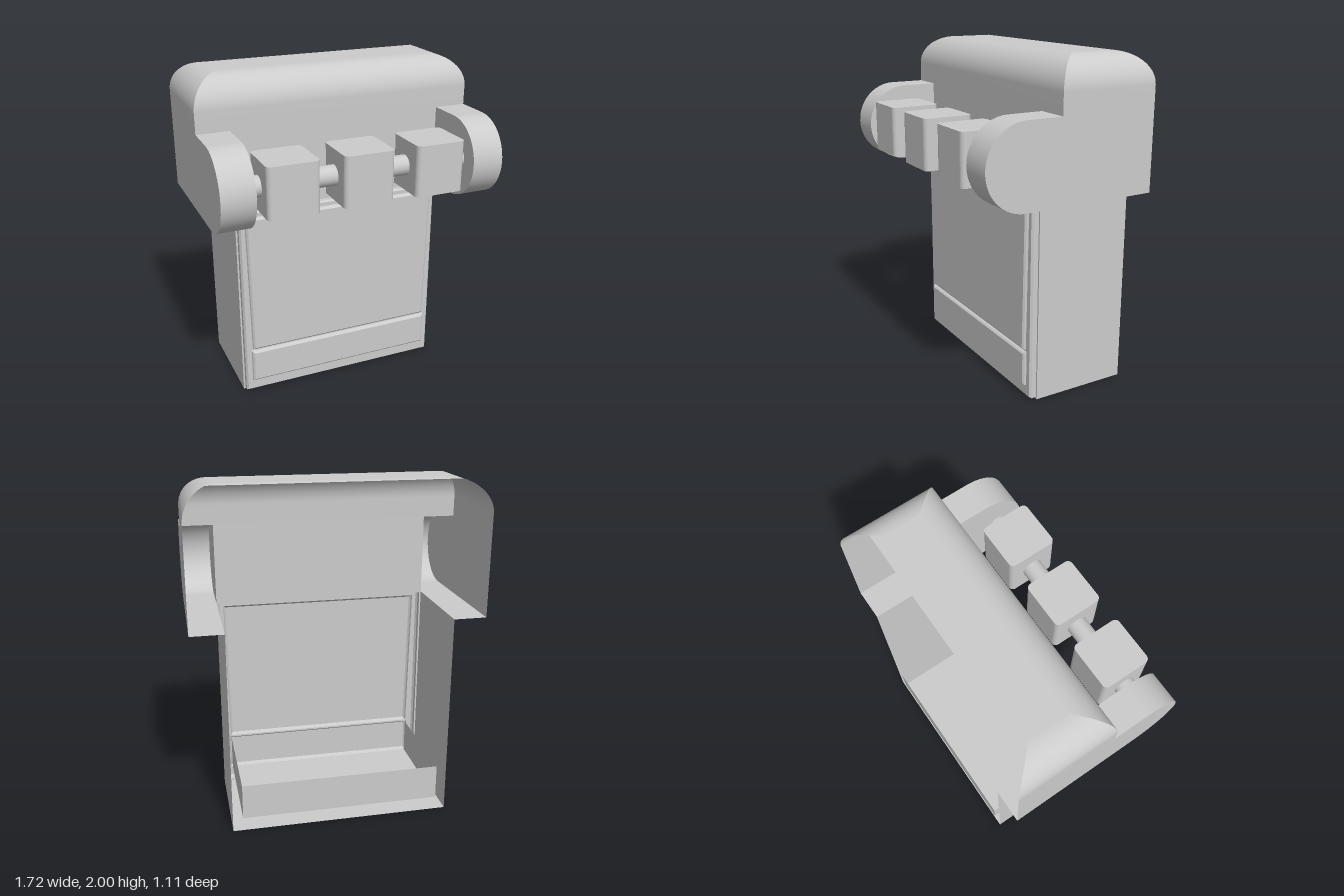
import * as THREE from 'three';

const smooth = new THREE.MeshStandardMaterial({ color: 0xcccccc, side: THREE.DoubleSide });
const flat = new THREE.MeshStandardMaterial({ color: 0xcccccc, side: THREE.DoubleSide, flatShading: true });

const BACK = -0.53, FRONT = 0.07;           // depth of the shell
const BODY_W = 0.65, HEAD_W = 0.843;        // half widths
const LEDGE = 1.22, ARM_TOP = 1.7, TOP = 2; // heights

// Ruled surface between two polylines with the same number of points
function ruled(a, b) {
  const pos = [], index = [];
  a.forEach((p, i) => {
    pos.push(...p, ...b[i]);
    if (i > 0) {
      const k = 2 * i;
      index.push(k - 2, k, k - 1, k - 1, k, k + 1);
    }
  });
  const g = new THREE.BufferGeometry();
  g.setAttribute('position', new THREE.Float32BufferAttribute(pos, 3));
  g.setIndex(index);
  g.computeVertexNormals();
  return g;
}

export function createModel() {
  const model = new THREE.Group();
  const add = (name, geometry, material = flat, parent = model) => {
    const mesh = new THREE.Mesh(geometry, material);
    mesh.name = name;
    parent.add(mesh);
    return mesh;
  };

  // Body: side walls and floor, open at the back
  for (const s of [1, -1]) {
    const x = s * BODY_W;
    add('bodySide', ruled([[x, 0, BACK], [x, 0, FRONT]], [[x, LEDGE, BACK], [x, LEDGE, FRONT]]));
  }
  add('bodyFloor', ruled([[-BODY_W, 0, BACK], [-BODY_W, 0, FRONT]], [[BODY_W, 0, BACK], [BODY_W, 0, FRONT]]));

  // Stepped front: loops of [bottom half width, top half width, bottom, top, z]
  const corners = ([wb, wt, y0, y1]) => [[-wb, y0], [wb, y0], [wt, y1], [-wt, y1]];
  const steps = (name, loops) => {
    const group = new THREE.Group();
    group.name = name;
    const rings = loops.map((l) => {
      const c = corners(l).map(([x, y]) => [x, y, l[4]]);
      return [...c, c[0]];
    });
    for (let i = 1; i < rings.length; i++) add(name + 'Edge', ruled(rings[i - 1], rings[i]), flat, group);
    model.add(group);
    return group;
  };
  const toShape = (l) => new THREE.Shape(corners(l).map((p) => new THREE.Vector2(...p)));
  const face = (name, loop, holes, parent) => {
    const shape = toShape(loop);
    shape.holes = holes.map(toShape);
    add(name, new THREE.ShapeGeometry(shape), flat, parent).position.z = loop[4];
  };

  const frameTop = [0.63, 0.63, 0.018, 1.208, 0.113];
  const frame = steps('frontFrame', [
    [0.65, 0.65, 0, 1.22, 0.07], [0.64, 0.64, 0.01, 1.215, 0.07],
    [0.64, 0.64, 0.01, 1.215, 0.1], frameTop,
  ]);
  const panels = {
    screenPanel: [0.592, 0.607, 0.305, 1.185],
    lowerPanel: [0.6, 0.6, 0.08, 0.295],
  };
  face('frameFace', frameTop, Object.values(panels), frame);
  for (const [name, [wb, wt, y0, y1]] of Object.entries(panels)) {
    const inset = (d, z) => [wb - d, wt - d, y0 + d, y1 - d, z];
    const loops = [inset(0, 0.113), inset(0.004, 0.124), inset(0.014, 0.133)];
    face(name + 'Face', loops[2], [], steps(name, loops));
  }

  // Open bin behind the lower panel
  const bw = 0.59, b0 = 0.08, b1 = 0.29;
  const binRim = (y) => [[-bw, y, 0.113], [-bw, y, BACK], [bw, y, BACK], [bw, y, 0.113]];
  add('binWalls', ruled(binRim(b0), binRim(b1)).toNonIndexed());
  add('binFloor', ruled([[-bw, b0, BACK], [-bw, b0, 0.113]], [[bw, b0, BACK], [bw, b0, 0.113]]));

  // Hollow arms: profile in (z, y), ledge, rounded nose and top
  const r = (ARM_TOP - LEDGE) / 2, cz = 0.283, cy = LEDGE + r;
  const arc = [];
  for (let i = 0; i <= 24; i++) {
    const a = -Math.PI / 2 + (Math.PI * i) / 24;
    arc.push([cz + r * Math.cos(a), cy + r * Math.sin(a)]);
  }
  const profile = [[BACK, LEDGE], [FRONT, LEDGE], ...arc, [FRONT, ARM_TOP]];
  const sideFace = (points) => {
    const g = new THREE.ShapeGeometry(new THREE.Shape(points.map(([z, y]) => new THREE.Vector2(-z, y))));
    return g.rotateY(Math.PI / 2);
  };
  for (const s of [1, -1]) {
    const arm = new THREE.Group();
    arm.name = s > 0 ? 'leftArm' : 'rightArm';
    const at = (x) => profile.map(([z, y]) => [s * x, y, z]);
    add('armRim', ruled(at(BODY_W), at(HEAD_W)), smooth, arm);
    add('armOuterFace', sideFace([...profile, [BACK, ARM_TOP]]), flat, arm).position.x = s * HEAD_W;
    add('armInnerFace', sideFace(profile.slice(1)), flat, arm).position.x = s * BODY_W;
    model.add(arm);
  }
  add('headFrontLower', ruled(
    [[-BODY_W, LEDGE, FRONT], [BODY_W, LEDGE, FRONT]],
    [[-BODY_W, ARM_TOP, FRONT], [BODY_W, ARM_TOP, FRONT]]));

  // Head: rounded, mitred hood; the back stays open below its top lip
  const R = 0.18, SEG = 12;
  const rise = [[0, ARM_TOP]];
  for (let i = 0; i <= SEG; i++) {
    const a = (Math.PI / 2) * (i / SEG);
    rise.push([R * (1 - Math.cos(a)), TOP - R + R * Math.sin(a)]);
  }
  const edge = (sx, front, list = rise) => list.map(([d, y]) =>
    [sx * (HEAD_W - d), y, front ? FRONT - d : BACK + d]);
  add('hoodFront', ruled(edge(-1, true), edge(1, true)), smooth);
  add('hoodLeft', ruled(edge(1, true), edge(1, false)), smooth);
  add('hoodRight', ruled(edge(-1, false), edge(-1, true)), smooth);
  const lip = rise.slice(-3);
  add('hoodBackLip', ruled(edge(1, false, lip), edge(-1, false, lip)), smooth);
  const last = rise.slice(-1);
  add('hoodTop', ruled(
    [...edge(-1, true, last), ...edge(1, true, last)],
    [...edge(-1, false, last), ...edge(1, false, last)]));

  // Rod between the arms
  const rod = add('rod', new THREE.CylinderGeometry(0.06, 0.06, 2 * BODY_W, 24, 1, true), smooth);
  rod.rotation.z = Math.PI / 2;
  rod.position.set(0, 1.47, 0.36);

  // Three blocks with rounded upright edges
  const h = 0.15, c = 0.03;
  const square = new THREE.Shape();
  square.moveTo(-h + c, -h);
  for (const [x, y] of [[1, -1], [1, 1], [-1, 1], [-1, -1]]) {
    const a = Math.atan2(y, x);
    square.absarc(x * (h - c), y * (h - c), c, a - Math.PI / 4, a + Math.PI / 4, false);
  }
  const block = new THREE.ExtrudeGeometry(square, { depth: 0.3, bevelEnabled: false, curveSegments: 6 });
  block.rotateX(-Math.PI / 2);
  for (const x of [-0.44, 0, 0.44]) add('block', block).position.set(x, 1.32, 0.365);

  // The whole model stands slightly turned
  model.rotation.y = -0.036;
  const root = new THREE.Group();
  root.name = 'cabinet';
  root.add(model);
  return root;
}
